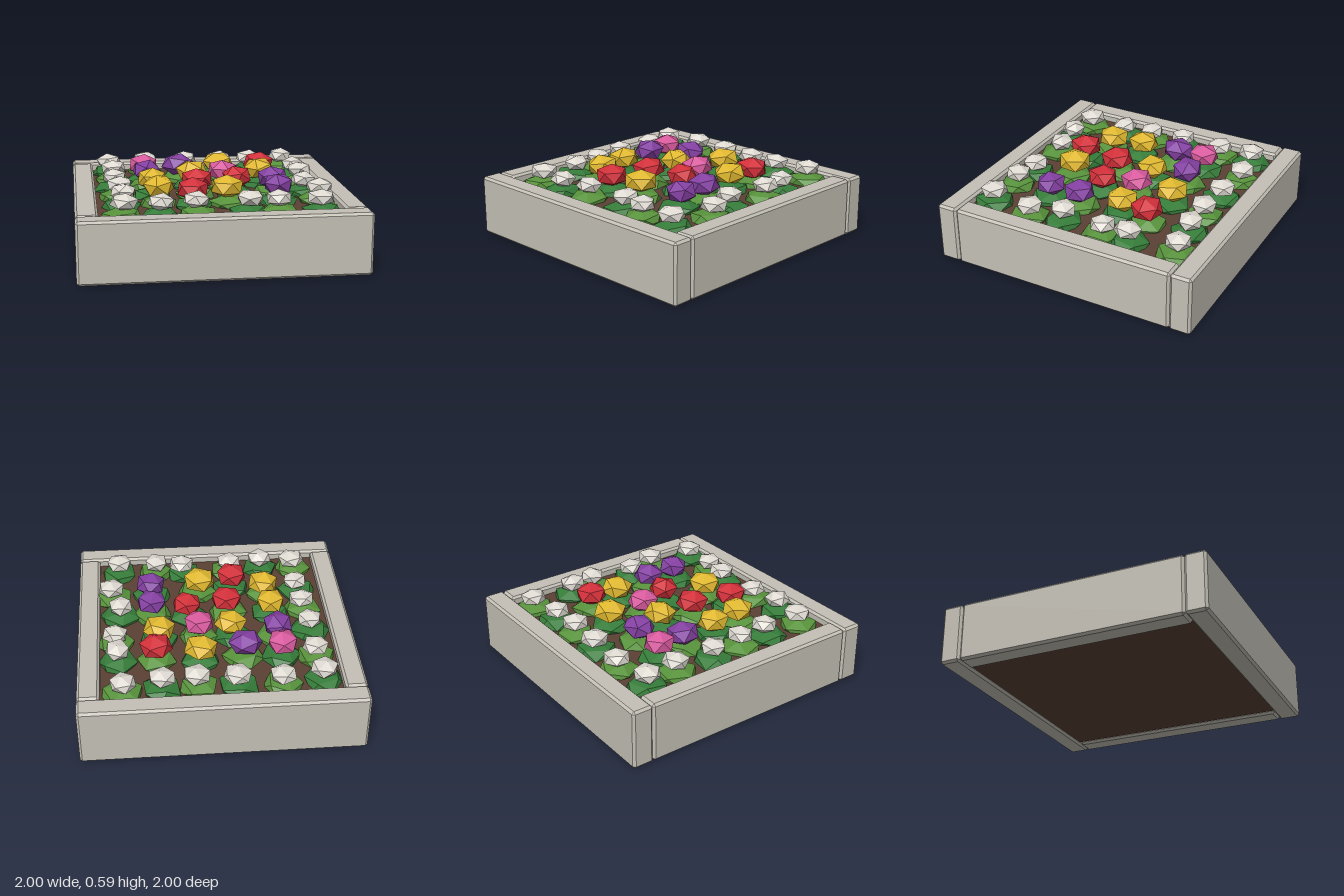
import * as THREE from 'three';
import { ConvexGeometry } from 'three/addons/geometries/ConvexGeometry.js';

const material = (name, color) => {
  const m = new THREE.MeshStandardMaterial({ color, flatShading: true });
  m.name = name;
  return m;
};

// Box with every edge and corner cut off by c
function chamferedBox(w, h, d, c) {
  const pts = [];
  for (const sx of [-1, 1]) for (const sy of [-1, 1]) for (const sz of [-1, 1]) {
    const x = w / 2, y = h / 2, z = d / 2;
    pts.push(
      new THREE.Vector3(sx * x, sy * (y - c), sz * (z - c)),
      new THREE.Vector3(sx * (x - c), sy * y, sz * (z - c)),
      new THREE.Vector3(sx * (x - c), sy * (y - c), sz * z));
  }
  return new ConvexGeometry(pts);
}

// Small seeded generator, returns -1..1
let seed = 7;
function jitter() {
  seed = (seed * 16807) % 2147483647;
  return (seed / 2147483647) * 2 - 1;
}

// Flattened low-poly ball with a corner at the top, turned and tilted a little
function clump(radius, height, tilt) {
  const g = new THREE.IcosahedronGeometry(1, 0);
  g.rotateZ(Math.atan(2 / (1 + Math.sqrt(5))));
  g.rotateY(jitter() * Math.PI);
  g.rotateX(jitter() * tilt);
  g.rotateZ(jitter() * tilt);
  g.scale(radius * (1 + 0.07 * jitter()), height, radius * (1 + 0.07 * jitter()));
  g.computeVertexNormals();
  return g;
}

export function createModel() {
  const stone = material('stone', 0xc4c0b6);
  const soilBrown = material('soil', 0x5a4034);
  const darkGreen = material('dark green', 0x367d3a);
  const lightGreen = material('light green', 0x58933c);
  const petals = {
    w: material('white petal', 0xdedad2),
    r: material('red petal', 0xd2303a),
    y: material('yellow petal', 0xe0b830),
    v: material('violet petal', 0x8440a2),
    p: material('pink petal', 0xd85a9e),
  };

  const model = new THREE.Group();
  const add = (parent, name, geometry, mat, x, y, z) => {
    const mesh = new THREE.Mesh(geometry, mat);
    mesh.name = name;
    mesh.position.set(x, y, z);
    parent.add(mesh);
  };

  // Stone frame: long slabs front and back, shorter ones between them
  const H = 0.44, T = 0.157, inner = 1 - T;
  for (const s of [1, -1]) {
    add(model, s > 0 ? 'frontSlab' : 'backSlab',
      chamferedBox(2, H, T, 0.017), stone, 0, H / 2, s * (1 - T / 2));
    add(model, s > 0 ? 'leftSlab' : 'rightSlab',
      chamferedBox(T, H, inner * 2, 0.017), stone, s * (1 - T / 2), H / 2, 0);
  }

  // Soil bed
  add(model, 'soil', new THREE.BoxGeometry(inner * 2, 0.36, inner * 2), soilBrown, 0, 0.2, 0);

  // Six rows of six plants: petal colour and flower position (x, z)
  const rows = [
    ['wwwwww', [-0.715, -0.69, -0.425, -0.74, -0.11, -0.715, 0.17, -0.7, 0.41, -0.71, 0.68, -0.75]],
    ['wpvyrw', [-0.69, -0.44, -0.46, -0.41, -0.195, -0.395, 0.125, -0.43, 0.44, -0.39, 0.715, -0.385]],
    ['wvypyw', [-0.695, -0.12, -0.45, -0.2, -0.11, -0.15, 0.12, -0.14, 0.41, -0.18, 0.73, -0.2]],
    ['wyrrvw', [-0.67, 0.14, -0.43, 0.09, -0.105, 0.145, 0.195, 0.1, 0.455, 0.145, 0.685, 0.14]],
    ['wyryvw', [-0.655, 0.375, -0.4, 0.335, -0.17, 0.455, 0.08, 0.405, 0.455, 0.38, 0.755, 0.375]],
    ['wwwwww', [-0.665, 0.68, -0.415, 0.71, -0.17, 0.675, 0.205, 0.67, 0.4, 0.7, 0.69, 0.715]],
  ];
  const plants = new THREE.Group();
  plants.name = 'plants';
  model.add(plants);
  rows.forEach(([colours, spots], row) => {
    for (let col = 0; col < 6; col++) {
      const x = spots[col * 2], z = spots[col * 2 + 1];
      const white = colours[col] === 'w';
      // Leaves sit nearer the regular planting grid than the flower does
      const lx = THREE.MathUtils.lerp(x, (col - 2.5) * 0.285, 0.3);
      const lz = THREE.MathUtils.lerp(z, (row - 2.5) * 0.285, 0.3);
      add(plants, 'leaves', clump(0.152, 0.07, 0.35),
        (row + col) % 2 ? lightGreen : darkGreen, lx, 0.385, lz);
      add(plants, 'flower', white ? clump(0.1, 0.062, 0.3) : clump(0.12, 0.085, 0.3),
        petals[colours[col]], x, white ? 0.487 : 0.51, z);
    }
  });
  return model;
}
